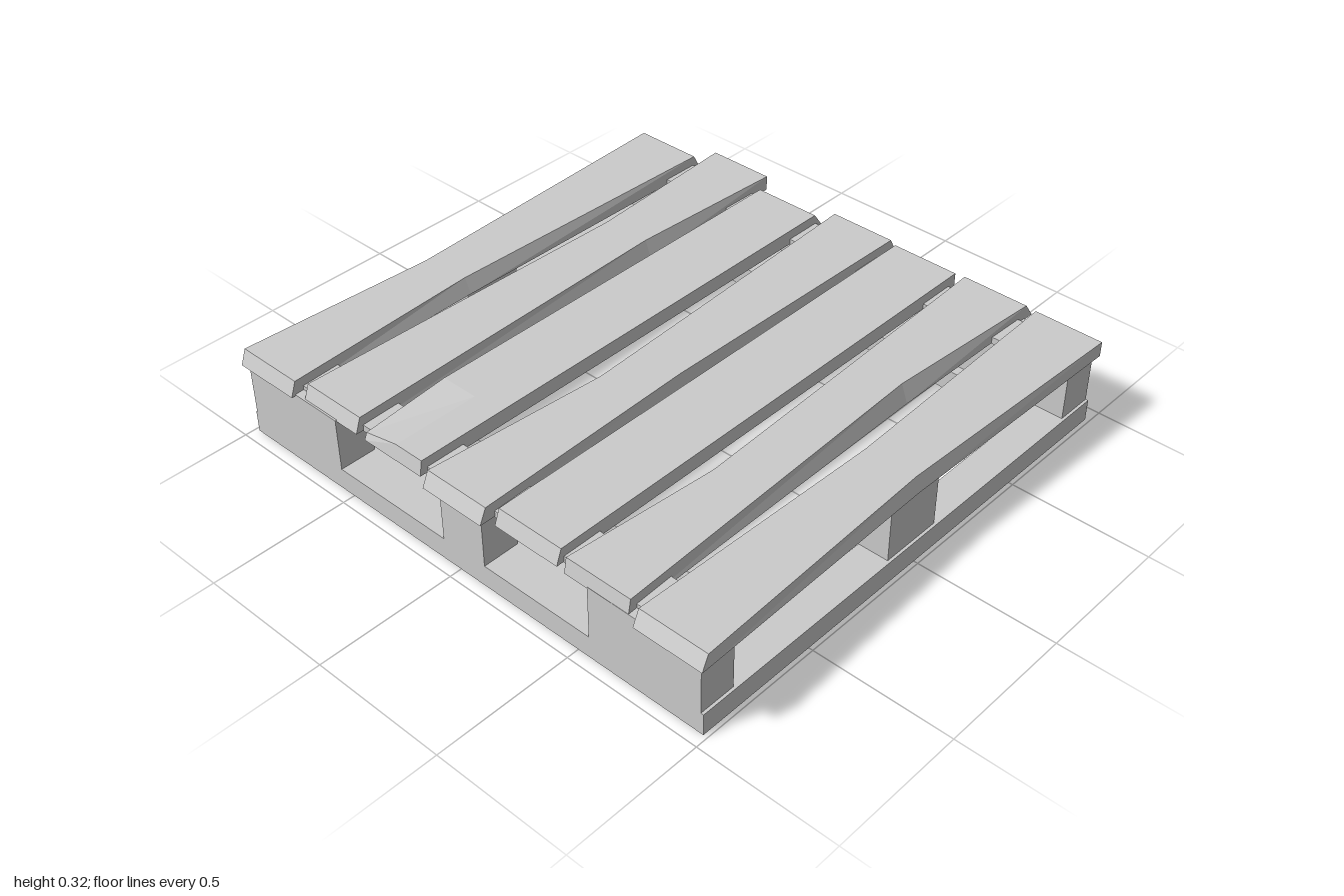
import * as THREE from 'three';

const material = new THREE.MeshStandardMaterial({ color: 0xcccccc, flatShading: true });
const TOP = 0.325, UNDER = 0.27;

// Box given by its extents on each axis
function box(name, [x0, x1], [y0, y1], [z0, z1]) {
  const mesh = new THREE.Mesh(new THREE.BoxGeometry(x1 - x0, y1 - y0, z1 - z0), material);
  mesh.position.set((x0 + x1) / 2, (y0 + y1) / 2, (z0 + z1) / 2);
  mesh.name = name;
  return mesh;
}

// Worn plank: a box split at mid length, waisted on both sides, with sloped ends.
// left / right: [waist z, inset of the top edge, inset of the bottom edge]
function plank({ x, z, left = [0, 0, 0], right = [0, 0, 0], front = 0.02, back = 0, sag = 0, chip = 0, split = 0.5 }) {
  const geometry = new THREE.BoxGeometry(2, 2, 2, 2, 1, 2);
  const p = geometry.attributes.position;
  const width = x[1] - x[0];
  for (let i = 0; i < p.count; i++) {
    const sx = Math.round(p.getX(i)), sz = Math.round(p.getZ(i)), isTop = p.getY(i) > 0;
    let px = sx < 0 ? x[0] : sx > 0 ? x[1] : x[0] + width * split;
    let py = isTop ? TOP : UNDER;
    let pz = sz < 0 ? z[0] + (isTop ? back : 0) : z[1] - (isTop ? front : 0);
    if (sz === 0) {
      const edge = isTop ? 1 : 2;
      pz = sx < 0 ? left[0] : sx > 0 ? right[0] : (left[0] + right[0]) / 2;
      if (sx < 0) px += left[edge];
      if (sx > 0) px -= right[edge];
      if (!isTop) py -= sag;
    }
    if (chip && sx < 0 && sz > 0 && isTop) py -= chip;
    p.setXYZ(i, px, py, pz);
  }
  geometry.computeVertexNormals();
  const mesh = new THREE.Mesh(geometry, material);
  mesh.name = 'deckPlank';
  return mesh;
}

export function createModel() {
  const model = new THREE.Group();
  model.name = 'pallet';

  // Bottom frame with a centre runner
  const frame = new THREE.Group();
  frame.name = 'bottomFrame';
  const baseY = [0, 0.08], inner = [-0.76, 0.77];
  frame.add(
    box('frontBaseBoard', [-0.985, 0.985], baseY, [0.77, 0.955]),
    box('backBaseBoard', [-0.985, 0.985], baseY, [-0.94, -0.76]),
    box('leftBaseBoard', [0.865, 0.985], baseY, inner),
    box('rightBaseBoard', [-0.985, -0.865], baseY, inner),
    box('centreBaseBoard', [-0.07, 0.11], baseY, inner)
  );
  model.add(frame);

  // Spacer blocks: wide at the corners, short along the middle row
  const blocks = new THREE.Group();
  blocks.name = 'spacerBlocks';
  const cornerX = [[-0.98, -0.55], [-0.07, 0.11], [0.545, 0.975]];
  const middleX = [[-0.98, -0.86], [-0.07, 0.11], [0.855, 0.975]];
  const rows = [[[0.82, 0.955], cornerX], [[-0.105, 0.125], middleX], [[-0.94, -0.8], cornerX]];
  for (const [z, columns] of rows)
    for (const x of columns) blocks.add(box('spacerBlock', x, [0.08, 0.275], z));
  model.add(blocks);

  // Thin cross boards under the deck
  for (const z of [[0.775, 0.92], [-0.905, -0.765]])
    model.add(box('crossBoard', [-0.975, 0.975], [0.265, 0.29], z));

  // Deck planks from right to left
  const deck = new THREE.Group();
  deck.name = 'deck';
  const planks = [
    { x: [-1, -0.745], z: [-0.94, 0.97], left: [0.22, 0.045, 0.02], right: [0.2, 0.035, 0.01], back: 0.03 },
    { x: [-0.705, -0.455], z: [-0.985, 0.95], left: [-0.37, 0.035, 0.015], right: [-0.38, 0.035, 0.01], sag: 0.012 },
    { x: [-0.415, -0.16], z: [-0.94, 0.95], left: [0.62, 0, 0], right: [0.62, 0, 0], back: 0.04, front: 0.01, chip: 0.03, split: 0.55 },
    { x: [-0.115, 0.135], z: [-0.985, 0.98], left: [0.28, 0.055, 0.02], right: [0.1, 0.02, 0.015], front: 0.025, back: 0.03, sag: 0.01 },
    { x: [0.165, 0.42], z: [-0.94, 0.95] },
    { x: [0.455, 0.705], z: [-0.985, 0.955], left: [0.38, 0.05, 0.03], right: [-0.33, 0.045, 0.02], front: 0.01, back: 0.04, sag: 0.012 },
    { x: [0.745, 1], z: [-0.94, 0.98], left: [0, 0.03, 0.02], right: [0, 0.035, 0.02], front: 0.025 }
  ];
  planks.forEach((options) => deck.add(plank(options)));
  model.add(deck);

  return model;
}
